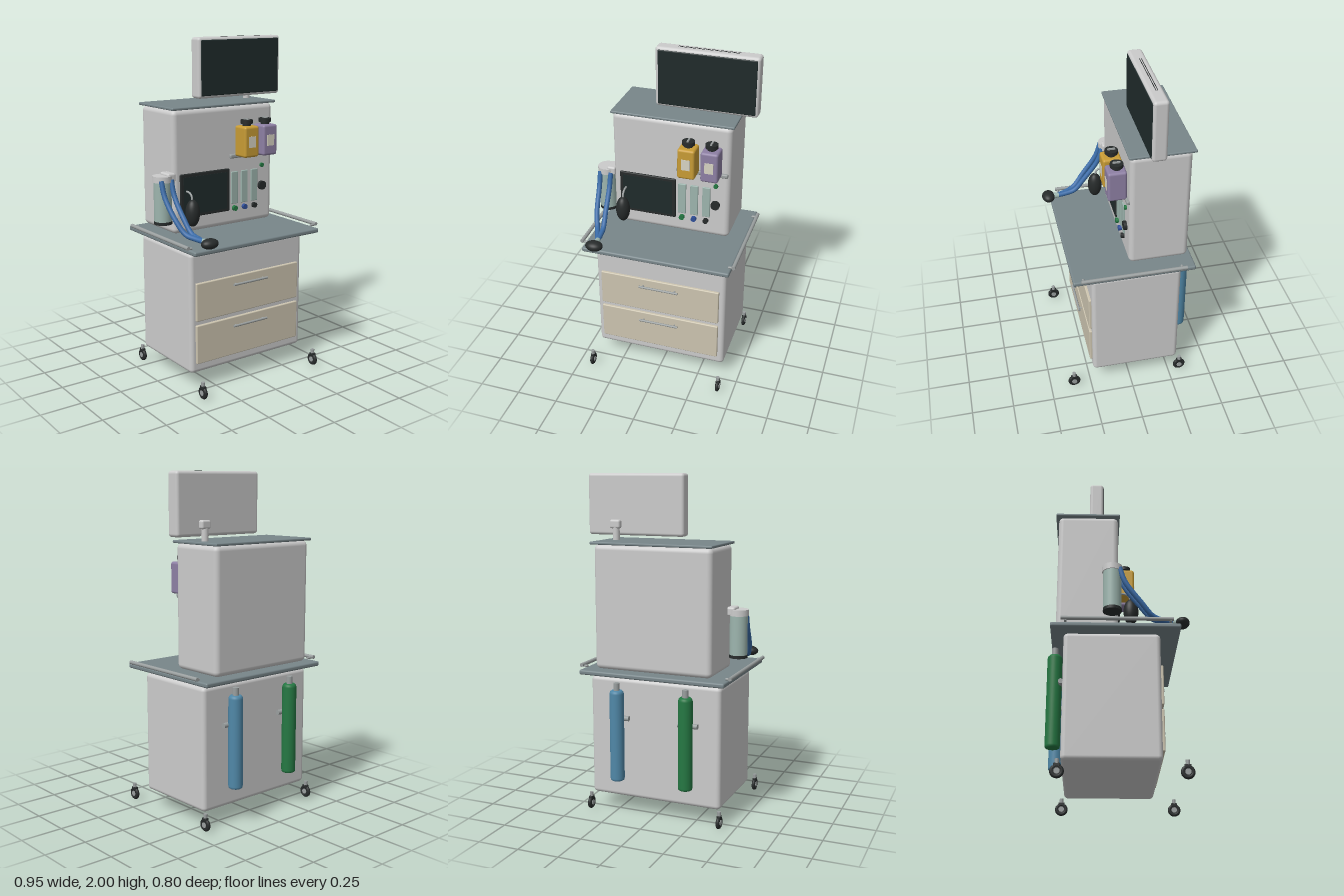
import * as THREE from 'three';
import { RoundedBoxGeometry } from 'three/addons/geometries/RoundedBoxGeometry.js';

const material = (color) => new THREE.MeshStandardMaterial({ color });
const GREY = material(0xcccccc), SLATE = material(0x78868a), BLACK = material(0x272b2b),
  SCREEN = material(0x1f2b2b), BEIGE = material(0xcdc5b0), GLASS = material(0x9db5ae),
  STEEL = material(0x9a9f9f), BLUE = material(0x5088a8), GREEN = material(0x257843),
  YELLOW = material(0xc89c35), PURPLE = material(0x8e80a4), HOSE = material(0x3a6ca8),
  PALE = material(0xd8d4c4), KNOB_BLUE = material(0x2f4f9a);

export function createModel() {
  const root = new THREE.Group();

  const add = (name, geometry, mat, [x, y, z], parent = root) => {
    const mesh = new THREE.Mesh(geometry, mat);
    mesh.name = name;
    mesh.position.set(x, y, z);
    parent.add(mesh);
    return mesh;
  };
  // Box given by its min and max corners, optionally rounded
  const box = (name, mat, [x0, y0, z0], [x1, y1, z1], r = 0, parent = root) => {
    const size = [x1 - x0, y1 - y0, z1 - z0];
    const geo = r ? new RoundedBoxGeometry(...size, 4, r) : new THREE.BoxGeometry(...size);
    return add(name, geo, mat, [(x0 + x1) / 2, (y0 + y1) / 2, (z0 + z1) / 2], parent);
  };
  // Cylinder centred on a point, along the given axis
  const rod = (name, mat, r, length, pos, axis = 'y', parent = root) => {
    const geo = new THREE.CylinderGeometry(r, r, length, 28);
    if (axis === 'x') geo.rotateZ(Math.PI / 2);
    if (axis === 'z') geo.rotateX(Math.PI / 2);
    return add(name, geo, mat, pos, parent);
  };
  const tube = (name, mat, r, points) => {
    const path = new THREE.CatmullRomCurve3(points.map((p) => new THREE.Vector3(...p)));
    return add(name, new THREE.TubeGeometry(path, 40, r, 14), mat, [0, 0, 0]);
  };
  const ellipsoid = (name, mat, scale, pos) => {
    const mesh = add(name, new THREE.SphereGeometry(1, 32, 20), mat, pos);
    mesh.scale.set(...scale);
    return mesh;
  };

  // Main housings and shelves
  box('baseCabinet', GREY, [-0.41, 0.1, -0.305], [0.405, 0.825, 0.23], 0.025);
  box('worktop', SLATE, [-0.453, 0.842, -0.379], [0.445, 0.87, 0.343], 0.01);
  box('upperCabinet', GREY, [-0.367, 0.88, -0.352], [0.352, 1.603, -0.002], 0.03);
  box('topShelf', SLATE, [-0.374, 1.603, -0.369], [0.366, 1.619, 0.008], 0.006);

  // Drawers with bar handles
  for (const [y0, y1, handleY] of [[0.16, 0.395, 0.345], [0.42, 0.648, 0.6]]) {
    box('drawerFront', BEIGE, [-0.378, y0, 0.22], [0.367, y1, 0.245], 0.006);
    rod('drawerHandle', STEEL, 0.007, 0.245, [-0.006, handleY, 0.262], 'x');
    for (const s of [-1, 1])
      rod('handlePost', STEEL, 0.005, 0.024, [-0.006 + s * 0.1, handleY, 0.252], 'z');
  }

  // Casters
  for (const x of [-0.413, 0.408]) for (const z of [0.355, -0.32]) {
    const caster = new THREE.Group();
    caster.name = 'caster';
    caster.position.set(x, 0, z);
    root.add(caster);
    const tyre = new THREE.TorusGeometry(0.027, 0.011, 12, 28).rotateY(Math.PI / 2);
    add('tyre', tyre, BLACK, [0, 0.038, 0], caster);
    rod('wheelDisc', BLACK, 0.028, 0.018, [0, 0.038, 0], 'x', caster);
    rod('wheelHub', STEEL, 0.016, 0.025, [0, 0.038, 0], 'x', caster);
    box('fork', BLACK, [-0.011, 0.06, -0.018], [0.011, 0.08, 0.018], 0.004, caster);
    rod('stem', STEEL, 0.011, 0.03, [0, 0.088, 0], 'y', caster);
  }

  // Side rails on short brackets
  for (const [x, s] of [[-0.467, -1], [0.46, 1]]) {
    rod('sideRail', STEEL, 0.011, 0.62, [x, 0.885, -0.01], 'z');
    for (const z of [-0.295, 0.285])
      rod('railBracket', STEEL, 0.007, 0.035, [x - s * 0.014, 0.878, z], 'x');
  }

  // Monitor on its post
  box('monitorCase', GREY, [-0.13, 1.645, -0.172], [0.473, 2, -0.088], 0.018);
  box('monitorScreen', SCREEN, [-0.113, 1.66, -0.1], [0.458, 1.985, -0.084], 0.006);
  for (const z of [-0.14, -0.13])
    box('ventSlot', BLACK, [-0.005, 1.998, z - 0.002], [0.35, 2.0005, z + 0.002]);
  rod('monitorPost', GREY, 0.02, 0.1, [0.287, 1.665, -0.182]);
  box('monitorMount', GREY, [0.257, 1.685, -0.203], [0.322, 1.735, -0.165], 0.012);

  // Control display and flow tubes
  box('displayBezel', BLACK, [-0.325, 0.972, -0.01], [0.023, 1.232, 0.009], 0.006);
  box('displayScreen', SCREEN, [-0.305, 0.99, 0], [0.003, 1.213, 0.011]);
  [GREEN, KNOB_BLUE, BLACK].forEach((mat, i) => {
    const x = 0.063 + i * 0.074;
    box('flowTube', GLASS, [x - 0.024, 1.01, -0.01], [x + 0.024, 1.208, 0.007], 0.004);
    rod('flowKnob', mat, 0.016, 0.022, [x, 0.983, 0.006], 'z');
  });
  rod('indicator', GREEN, 0.013, 0.014, [0.268, 1.227, 0.004], 'z');
  rod('pressureKnob', BLACK, 0.027, 0.022, [0.268, 1.1, 0.006], 'z');

  // Vaporizers on a rail
  box('vaporizerRail', STEEL, [0.027, 1.29, -0.01], [0.338, 1.315, 0.014], 0.008);
  for (const [x, mat] of [[0.114, YELLOW], [0.251, PURPLE]]) {
    box('vaporizerBody', mat, [x - 0.052, 1.303, 0.002], [x + 0.052, 1.487, 0.11], 0.014);
    box('vaporizerLabel', PALE, [x - 0.026, 1.362, 0.1], [x + 0.026, 1.428, 0.1125]);
    rod('dialNeck', BLACK, 0.025, 0.02, [x, 1.494, 0.052]);
    rod('dial', BLACK, 0.037, 0.022, [x, 1.511, 0.052]);
    box('dialGrip', STEEL, [x - 0.005, 1.515, 0.03], [x + 0.005, 1.53, 0.074]);
  }

  // Absorber canister with its head
  rod('canisterBody', GLASS, 0.052, 0.25, [-0.42, 1.085, -0.037]);
  rod('canisterBase', BLACK, 0.053, 0.018, [-0.42, 0.958, -0.037]);
  rod('canisterLid', GREY, 0.058, 0.036, [-0.42, 1.215, -0.037]);
  box('canisterArm', GREY, [-0.41, 1.195, -0.085], [-0.355, 1.247, 0.008], 0.012);

  // Breathing hoses joining at the mask
  tube('breathingHose', HOSE, 0.015, [[-0.452, 1.21, 0.003], [-0.45, 1.12, 0.035],
    [-0.435, 1.0, 0.125], [-0.41, 0.93, 0.19], [-0.385, 0.915, 0.25], [-0.367, 0.91, 0.305]]);
  tube('breathingHose', HOSE, 0.015, [[-0.386, 1.21, 0.003], [-0.386, 1.12, 0.035],
    [-0.38, 1.0, 0.125], [-0.372, 0.93, 0.19], [-0.368, 0.915, 0.25], [-0.365, 0.91, 0.305]]);
  rod('hoseConnector', GLASS, 0.017, 0.045, [-0.366, 0.91, 0.315], 'z');
  ellipsoid('faceMask', BLACK, [0.053, 0.03, 0.04], [-0.365, 0.91, 0.358]);

  // Reservoir bag on a bent pipe
  tube('bagPipe', STEEL, 0.006, [[-0.287, 1.13, 0], [-0.287, 1.13, 0.035],
    [-0.287, 1.115, 0.062], [-0.287, 1.07, 0.072]]);
  ellipsoid('reservoirBag', BLACK, [0.042, 0.08, 0.043], [-0.287, 1.015, 0.073]);

  // Gas cylinders on the back
  const profile = [[0, 0.22], [0.034, 0.22], [0.04, 0.224], [0.042, 0.235], [0.042, 0.745],
    [0.038, 0.757], [0.03, 0.765], [0, 0.765]].map((p) => new THREE.Vector2(...p));
  for (const [x, mat] of [[-0.218, GREEN], [0.212, BLUE]]) {
    add('gasCylinder', new THREE.LatheGeometry(profile, 32), mat, [x, 0, -0.356]);
    rod('cylinderValve', STEEL, 0.018, 0.046, [x, 0.786, -0.356]);
    rod('cylinderBracket', STEEL, 0.015, 0.12, [x, 0.59, -0.319], 'x');
  }

  return root;
}
